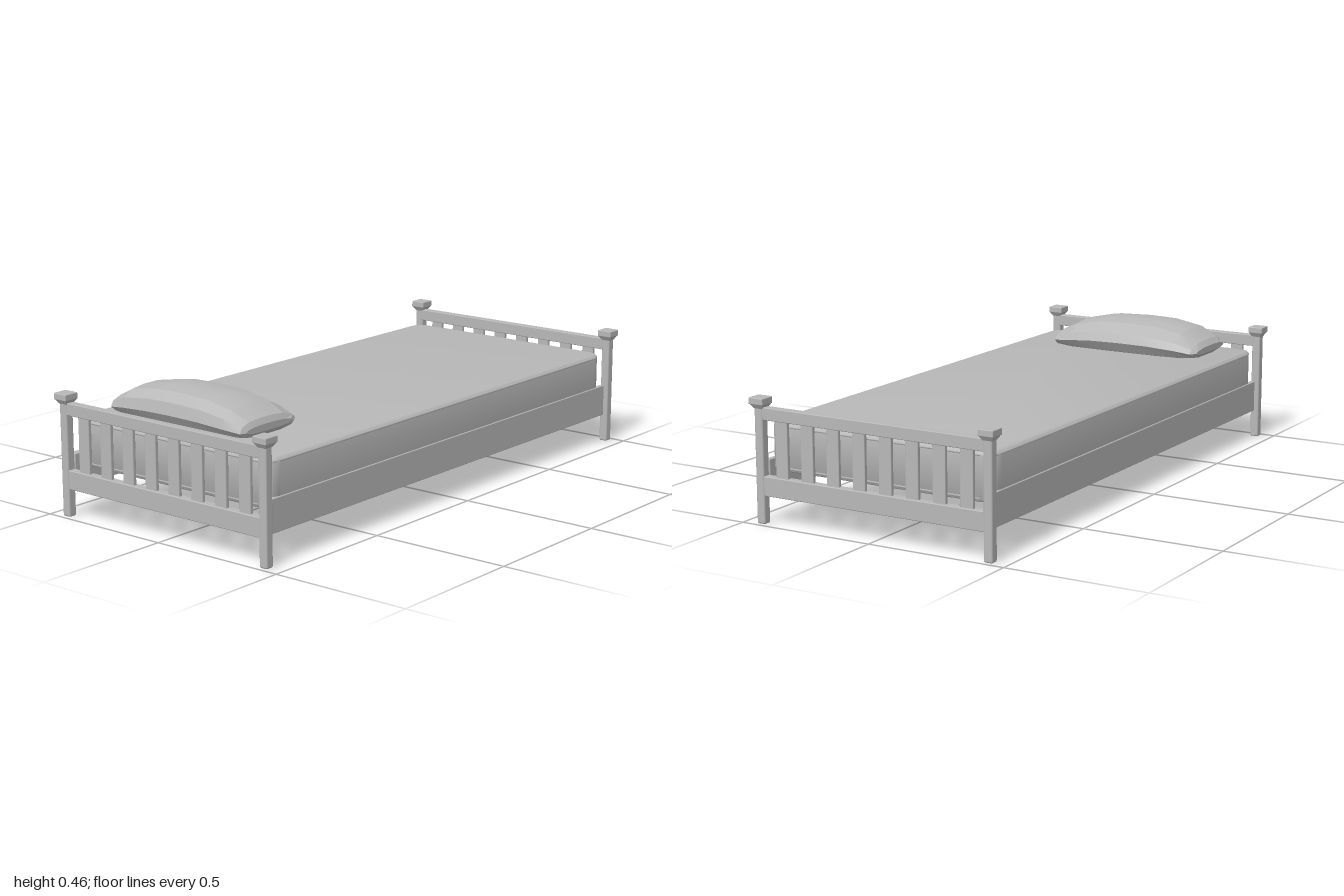
import * as THREE from 'three';
import { RoundedBoxGeometry } from 'three/addons/geometries/RoundedBoxGeometry.js';
import { toCreasedNormals } from 'three/addons/utils/BufferGeometryUtils.js';

const POST_X = 0.971, POST_Z = 0.435;

export function createModel() {
  const bed = new THREE.Group();
  bed.name = 'bed';
  const grey = new THREE.MeshStandardMaterial({ color: 0xb8b8b8 });
  grey.name = 'plain grey';

  const add = (parent, name, geometry, x = 0, y = 0, z = 0) => {
    const mesh = new THREE.Mesh(geometry, grey);
    mesh.name = name;
    mesh.position.set(x, y, z);
    parent.add(mesh);
    return mesh;
  };
  // Softened board spanning y0..y1
  const board = (parent, name, w, y0, y1, d, x, z, r = 0.003) =>
    add(parent, name, new RoundedBoxGeometry(w, y1 - y0, d, 2, r), x, (y0 + y1) / 2, z);

  // Headboard and footboard: posts with caps, two rails, eight slats
  for (const s of [-1, 1]) {
    const end = new THREE.Group();
    end.name = s < 0 ? 'headboard' : 'footboard';
    bed.add(end);
    for (const t of [-1, 1]) {
      board(end, 'post', 0.032, 0, 0.405, 0.032, s * POST_X, t * POST_Z, 0.006);
      const neck = new THREE.CylinderGeometry(0.037, 0.0226, 0.016, 4, 1, true).rotateY(Math.PI / 4);
      add(end, 'capNeck', toCreasedNormals(neck, 0.5), s * POST_X, 0.395, t * POST_Z);
      board(end, 'postCap', 0.056, 0.401, 0.424, 0.056, s * 0.972, t * POST_Z);
    }
    board(end, 'topRail', 0.03, 0.35, 0.392, 0.85, s * 0.969, 0);
    board(end, 'bottomRail', 0.03, 0.096, 0.162, 0.85, s * 0.969, 0);
    for (let i = 0; i < 8; i++) {
      board(end, 'slat', 0.014, 0.155, 0.357, 0.048, s * 0.969, (i - 3.5) * 0.1007);
    }
  }

  // Side rails
  for (const t of [-1, 1]) {
    board(bed, 'sideRail', 1.912, 0.1, 0.214, 0.018, 0, t * 0.425);
  }

  // Mattress: rounded plan, softened edges, piping above and below
  const roundedPlan = (hx, hz, r) => {
    const plan = new THREE.Shape();
    plan.absarc(hx - r, hz - r, r, 0, Math.PI / 2);
    plan.absarc(-hx + r, hz - r, r, Math.PI / 2, Math.PI);
    plan.absarc(-hx + r, -hz + r, r, Math.PI, Math.PI * 1.5);
    plan.absarc(hx - r, -hz + r, r, Math.PI * 1.5, Math.PI * 2);
    plan.closePath();
    return plan;
  };
  const bevel = 0.014;
  const core = new THREE.ExtrudeGeometry(roundedPlan(0.946 - bevel, 0.43 - bevel, 0.04), {
    depth: 0.163 - 2 * bevel, bevelThickness: bevel, bevelSize: bevel, bevelSegments: 4, curveSegments: 8,
  }).rotateX(-Math.PI / 2);
  add(bed, 'mattress', toCreasedNormals(core, 0.7), 0, 0.175 + bevel, 0);
  const edge = roundedPlan(0.943, 0.427, 0.05).getSpacedPoints(160)
    .slice(0, -1).map(p => new THREE.Vector3(p.x, 0, p.y));
  const piping = new THREE.TubeGeometry(new THREE.CatmullRomCurve3(edge, true), 200, 0.005, 6, true);
  for (const y of [0.188, 0.327]) add(bed, 'mattressPiping', piping, 0, y, 0);

  add(bed, 'pillow', pillowGeometry());
  return bed;
}

// Pillow lofted along z from plump cross-sections
function pillowGeometry() {
  // z, half width, bottom, top
  const sections = [
    [0.246, 0.115, 0.362, 0.385], [0.235, 0.135, 0.347, 0.405], [0.17, 0.147, 0.338, 0.437],
    [0.07, 0.152, 0.336, 0.459], [-0.05, 0.152, 0.336, 0.464], [-0.16, 0.152, 0.336, 0.461],
    [-0.27, 0.147, 0.338, 0.441], [-0.335, 0.135, 0.347, 0.405], [-0.353, 0.115, 0.362, 0.385],
  ];
  // Unit outline: x from -1 to 1, y from 0 (bottom) to 1 (top)
  const outline = [[1, 0.4], [0.9, 0.65], [0.55, 0.91], [0.15, 1], [-0.3, 1], [-0.68, 0.93],
    [-0.93, 0.72], [-1, 0.4], [-0.85, 0.12], [-0.45, 0], [0.45, 0], [0.85, 0.12]];
  const n = outline.length, pos = [], index = [];
  for (const [z, half, y0, y1] of sections) {
    for (const [x, y] of outline) pos.push(-0.728 + x * half, y0 + y * (y1 - y0), z);
  }
  for (let r = 0; r < sections.length - 1; r++) {
    for (let i = 0; i < n; i++) {
      const a = r * n + i, b = r * n + (i + 1) % n;
      index.push(a, a + n, b, b, a + n, b + n);
    }
  }
  // End faces
  const last = (sections.length - 1) * n;
  for (let i = 1; i < n - 1; i++) {
    index.push(0, i, i + 1, last, last + i + 1, last + i);
  }
  const geometry = new THREE.BufferGeometry();
  geometry.setAttribute('position', new THREE.Float32BufferAttribute(pos, 3));
  geometry.setIndex(index);
  return toCreasedNormals(geometry, 0.2);
}
